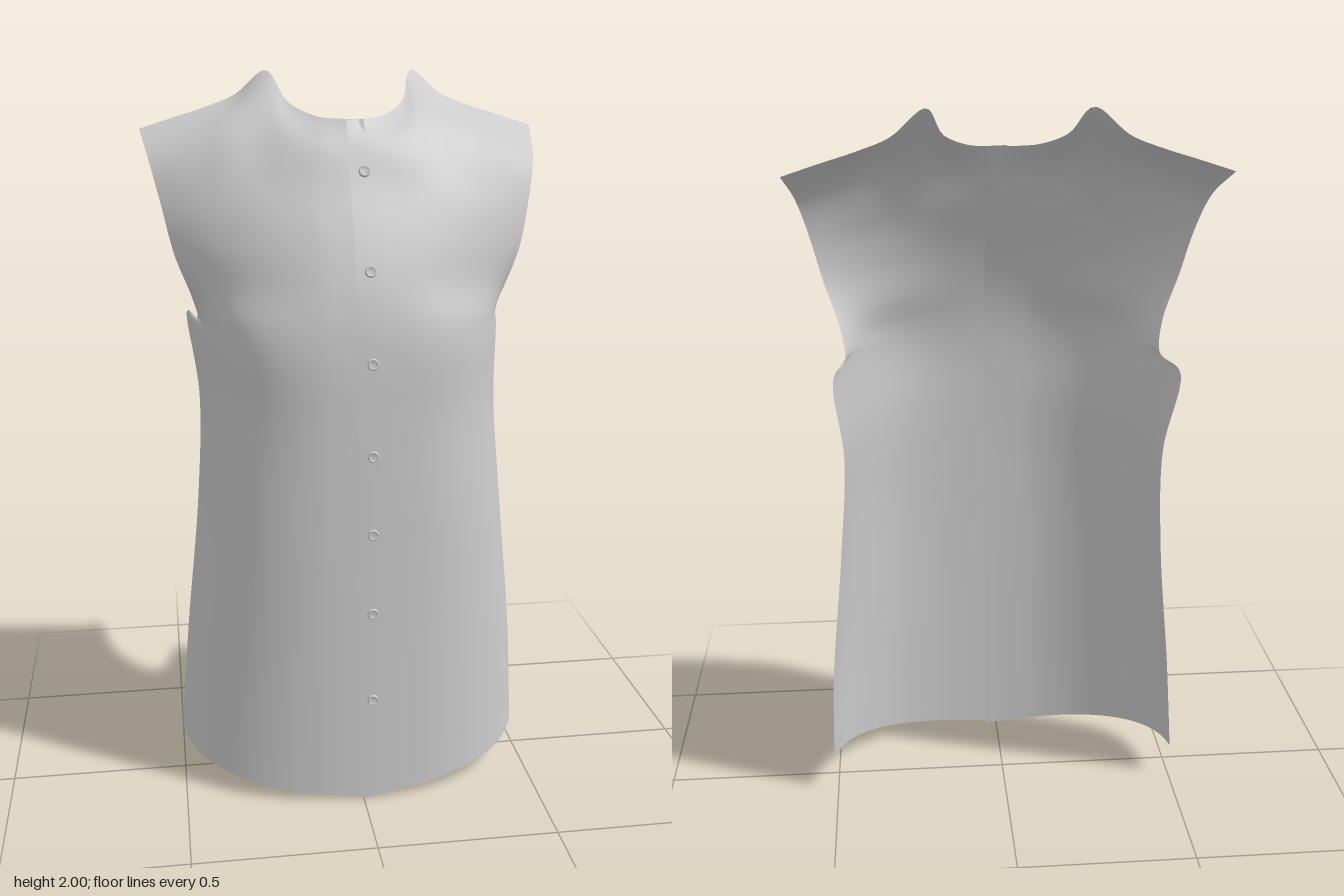
import * as THREE from 'three';

const V = (x, y, z) => new THREE.Vector3(x, y, z);

// Body sections from hem to chest: front opening (y, z), where the flank turns (x, z), side edge (x, y, z)
const BODY = [
  { front: [0, .25], flank: [.49, .16], edge: [.505, .1, -.09] },
  { front: [.4, .243], flank: [.47, .16], edge: [.485, .4, -.12] },
  { front: [.8, .235], flank: [.445, .18], edge: [.443, .8, -.163] },
  { front: [1.1, .228], flank: [.43, .17], edge: [.425, 1.1, -.203] },
  { front: [1.27, .22], flank: [.42, .19], edge: [.448, 1.325, -.25] },
  { front: [1.38, .208], flank: [.4, .16], edge: [.42, 1.345, -.1] },
  { front: [1.48, .185], flank: [.39, .085], edge: [.437, 1.42, -.035] },
  { front: [1.6, .14], flank: [.38, .06], edge: [.475, 1.53, -.02] },
  { front: [1.72, .08], flank: [.38, .015], edge: [.505, 1.66, -.05] },
];
// Yoke section, then neckline running into the shoulder seam, as points from opening to armhole
const YOKE = [[0, 1.81, .035], [.08, 1.815, .03], [.16, 1.835, 0], [.23, 1.87, -.06], [.32, 1.85, -.07], [.39, 1.82, -.08], [.47, 1.785, -.095], [.53, 1.76, -.11]];
const NECK = [[0, 1.88, 0], [.08, 1.885, -.035], [.155, 1.92, -.11], [.207, 2, -.24], [.29, 1.935, -.25], [.37, 1.903, -.25], [.46, 1.875, -.25], [.555, 1.845, -.255]];
const ROWS = 80, COLS = 42;

// A body section leaves the opening flat, then turns round the flank to the side edge
function bodyCurve({ front: [y, z], flank, edge }) {
  const height = (t) => THREE.MathUtils.lerp(y, edge[1], t);
  return new THREE.CubicBezierCurve3(V(0, y, z), V(edge[0] * .52, height(1 / 3), z), V(flank[0], height(2 / 3), flank[1]), V(...edge));
}
const sections = [
  ...BODY.map(bodyCurve),
  ...[YOKE, NECK].map((points) => new THREE.CatmullRomCurve3(points.map((p) => V(...p)))),
];

// One front panel: side = 1 (left, on top) or -1 (right, tucked underneath)
function panelGrid(side) {
  const inner = side > 0 ? -.013 : -.035;
  const lift = side > 0 ? .004 : -.005;
  const columns = [];
  for (let c = 0; c <= COLS; c++) {
    const u = c / COLS, overlap = Math.max(0, 1 - u * 7);
    const points = sections.map((section) => {
      const p = section.getPoint(u);
      const drape = 1 + side * .03 * Math.sin(Math.PI * THREE.MathUtils.clamp(p.y / 1.5, 0, 1));
      return V(side * (p.x * drape + inner * overlap), p.y, p.z + lift * overlap);
    });
    columns.push(new THREE.CatmullRomCurve3(points).getPoints(ROWS));
  }
  return columns;
}

function panelGeometry(columns, side) {
  const index = [];
  for (let c = 0; c < COLS; c++) {
    for (let r = 0; r < ROWS; r++) {
      const a = c * (ROWS + 1) + r, b = a + ROWS + 1;
      if (side > 0) index.push(a, b, b + 1, a, b + 1, a + 1);
      else index.push(a, b + 1, b, a, a + 1, b + 1);
    }
  }
  const geometry = new THREE.BufferGeometry().setFromPoints(columns.flat());
  geometry.setIndex(index);
  geometry.computeVertexNormals();
  return geometry;
}

export function createModel() {
  const model = new THREE.Group();
  const cloth = new THREE.MeshStandardMaterial({ color: 0xcccccc, side: THREE.DoubleSide });
  const plain = new THREE.MeshStandardMaterial({ color: 0xcccccc });

  // Cloth panels, overlapping at the front opening
  const left = panelGrid(1);
  for (const [name, side, grid] of [['leftFrontPanel', 1, left], ['rightFrontPanel', -1, panelGrid(-1)]]) {
    const mesh = new THREE.Mesh(panelGeometry(grid, side), cloth);
    mesh.name = name;
    model.add(mesh);
  }

  // Buttons: dished discs with four stitch dots, lying on the slope of the placket
  const profile = [[.0001, 0], [.015, 0], [.016, .005], [.014, .009], [.011, .009], [.009, .006], [0, .006]];
  const disc = new THREE.LatheGeometry(profile.map(([x, y]) => new THREE.Vector2(x, y)), 20);
  const dot = new THREE.CylinderGeometry(.0018, .0018, .003, 8);
  const placket = left[2];
  for (const y of [1.75, 1.505, 1.27, 1.02, .8, .57, .31]) {
    const i = placket.findIndex((p) => p.y >= y);
    const a = placket[i - 1], b = placket[i];
    const spot = a.clone().lerp(b, (y - a.y) / (b.y - a.y));
    const button = new THREE.Group();
    button.name = 'button';
    const rim = new THREE.Mesh(disc, plain);
    rim.name = 'buttonDisc';
    button.add(rim);
    for (let k = 0; k < 4; k++) {
      const stitch = new THREE.Mesh(dot, plain);
      stitch.name = 'stitch';
      stitch.position.set(k % 2 ? .004 : -.004, .007, k < 2 ? .004 : -.004);
      button.add(stitch);
    }
    const normal = V(0, a.z - b.z, b.y - a.y).normalize();
    button.quaternion.setFromUnitVectors(V(0, 1, 0), normal);
    button.position.set(.025, spot.y, spot.z).addScaledVector(normal, .001);
    model.add(button);
  }
  return model;
}
